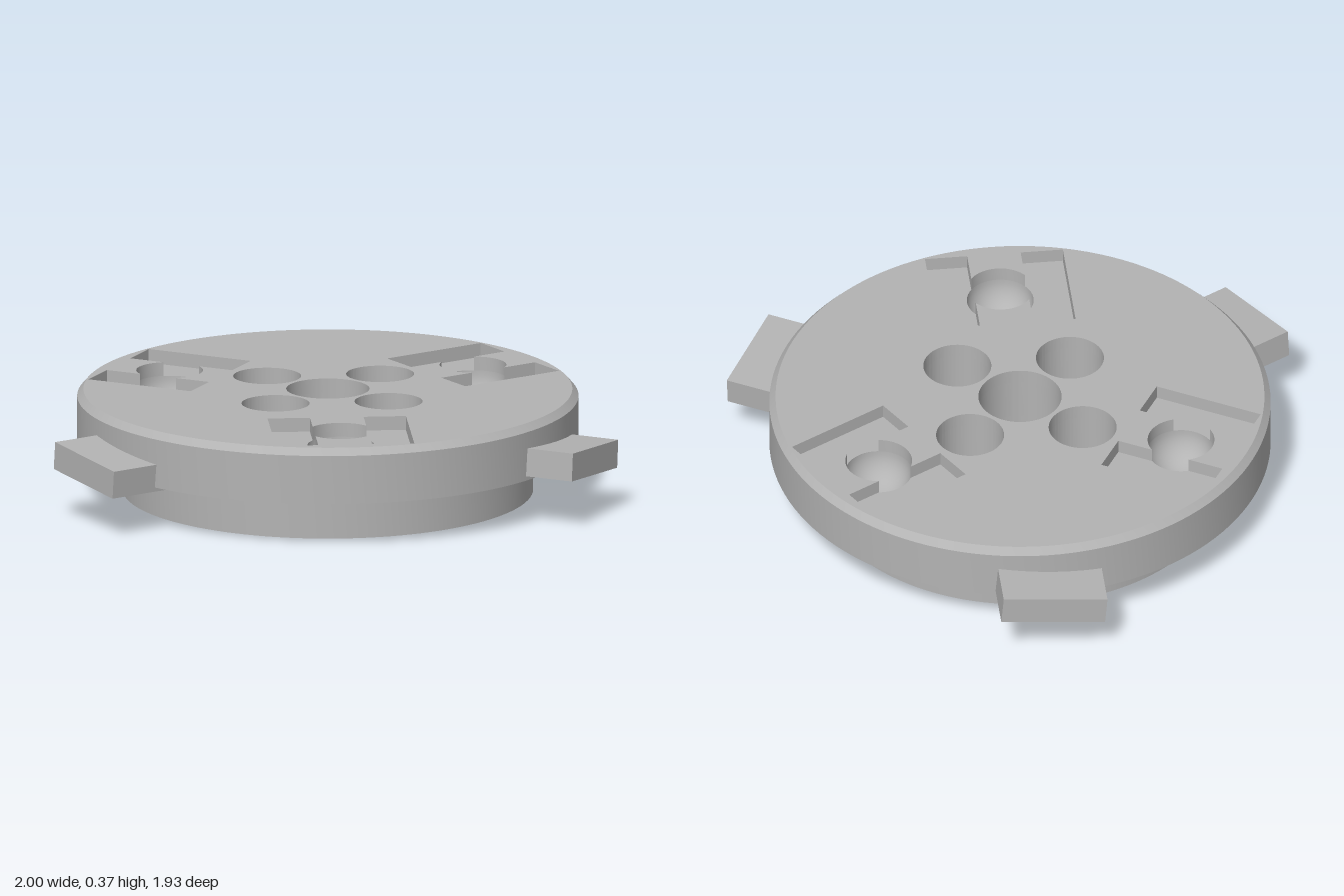
import * as THREE from 'three';
import { toCreasedNormals } from 'three/addons/utils/BufferGeometryUtils.js';

const metal = new THREE.MeshStandardMaterial({ color: 0xb3b3b3 });
metal.name = 'grey metal';

const TOP = 0.365, FLOOR = 0.315, STEP = 0.165;
const RIM = 0.863, OUTER = 0.885, BASE = 0.725;
const SOCKET_R = 0.118, SOCKET_V = 0.62;
const THIRD = (Math.PI * 2) / 3;

const add = (parent, name, geometry) => {
  const mesh = new THREE.Mesh(geometry, metal);
  mesh.name = name;
  parent.add(mesh);
  return mesh;
};

// Circle in plan; plan y is -z
const circle = (x, z, r) => new THREE.Path().absarc(x, -z, r, 0, Math.PI * 2, true);

const bolts = (r) => [[1, 1], [1, -1], [-1, 1], [-1, -1]].map(([x, z]) => circle(x * 0.2, z * 0.2, r));

// Outline of two slots joined by the round socket, turned about the axis
function pocketPath(angle) {
  const a = 0.095, b = 0.245, v0 = 0.42, v1 = 0.82;
  const start = Math.acos(a / SOCKET_R), n = 20;
  const arc = (from, to) => Array.from({ length: n + 1 }, (_, i) => {
    const t = from + ((to - from) * i) / n;
    return [SOCKET_R * Math.cos(t), SOCKET_V + SOCKET_R * Math.sin(t)];
  });
  const outline = [
    [a, v0], [b, v0], [b, v1], [a, v1],
    ...arc(start, Math.PI - start),
    [-a, v1], [-b, v1], [-b, v0], [-a, v0],
    ...arc(Math.PI + start, Math.PI * 2 - start),
  ];
  const c = Math.cos(angle), s = Math.sin(angle);
  return new THREE.Path(outline.map(([u, v]) => new THREE.Vector2(u * c + v * s, u * s - v * c)));
}

// Drilled plate between two heights
function plate(radius, y0, y1, holes) {
  const shape = new THREE.Shape().absarc(0, 0, radius, 0, Math.PI * 2, false);
  shape.holes.push(...holes);
  const geo = new THREE.ExtrudeGeometry(shape, { depth: y1 - y0, bevelEnabled: false, curveSegments: 64 });
  geo.rotateX(-Math.PI / 2);
  geo.translate(0, y0, 0);
  return toCreasedNormals(geo, 0.5);
}

export function createModel() {
  const model = new THREE.Group();
  model.name = 'mountingDisc';
  const body = new THREE.Group();
  body.name = 'body';
  body.position.z = 0.08;
  model.add(body);

  const angles = [0, THIRD, -THIRD];
  const bore = () => circle(0, 0, 0.147);

  // Stacked plates: lower hub, flange, pocketed top
  add(body, 'lowerHub', plate(BASE, 0, STEP, [bore(), ...bolts(0.07)]));
  const sockets = angles.map((t) => circle(SOCKET_V * Math.sin(t), SOCKET_V * Math.cos(t), SOCKET_R));
  add(body, 'flange', plate(RIM, STEP, FLOOR, [bore(), ...bolts(0.12), ...sockets]));
  add(body, 'pocketedTop', plate(RIM, FLOOR, TOP, [bore(), ...bolts(0.12), ...angles.map(pocketPath)]));

  // Chamfered outer rim
  const profile = [[RIM, STEP], [OUTER, STEP], [OUTER, 0.34], [RIM, TOP]];
  const rim = new THREE.LatheGeometry(profile.map(([r, y]) => new THREE.Vector2(r, y)), 128);
  add(body, 'chamferedRim', toCreasedNormals(rim, 0.5));

  // Inward-facing bowl
  const bowlPoints = Array.from({ length: 13 }, (_, i) => {
    const t = (i / 12) * Math.PI / 2;
    return new THREE.Vector2(Math.max(0, SOCKET_R * Math.cos(t)), FLOOR - SOCKET_R * Math.sin(t));
  });
  const bowlGeo = new THREE.LatheGeometry(bowlPoints, 48);
  const tabGeo = new THREE.BoxGeometry(0.37, 0.1, 0.235);

  angles.forEach((t) => {
    const bowl = add(body, 'socketBowl', bowlGeo);
    bowl.position.set(SOCKET_V * Math.sin(t), 0, SOCKET_V * Math.cos(t));

    // Tilted tab opposite each socket
    const arm = new THREE.Group();
    arm.name = 'tabMount';
    arm.rotation.y = t + Math.PI;
    body.add(arm);
    const tab = add(arm, 'tiltedTab', tabGeo);
    tab.position.set(0.004, 0.215, 0.9275);
    tab.rotation.z = -0.087;
  });

  return model;
}
